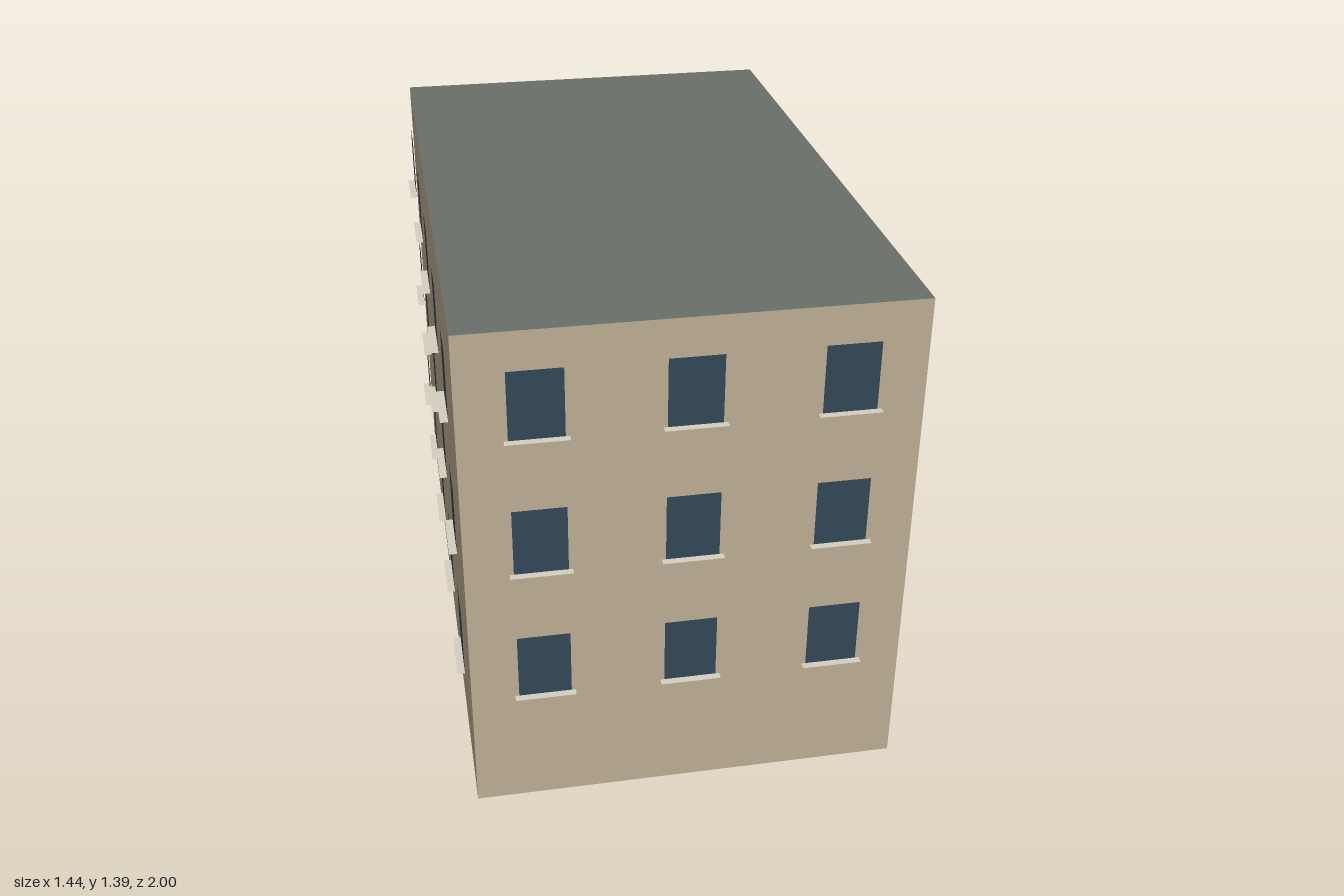
import * as THREE from 'three';

const WIDTH = 1.146, DEPTH = 1.828, HEIGHT = 1.395;
const WINDOW_W = 0.137, WINDOW_H = 0.184;
const SILL_W = 0.158, SILL_D = 0.02, GAP = 0.009;
const FIRST_FLOOR = 0.346, STOREY = 0.383, STOREYS = 3;

const paint = (color, side = THREE.FrontSide) => new THREE.MeshStandardMaterial({ color, side });
const wallPaint = paint(0xc4b49a);
const roofPaint = paint(0x6b6f6a);
const basePaint = paint(0x55534f);
const glassPaint = paint(0x34495a, THREE.DoubleSide);
const sillPaint = paint(0xd6cfc0, THREE.DoubleSide);

const paneGeometry = new THREE.PlaneGeometry(WINDOW_W, WINDOW_H);
const sillGeometry = new THREE.PlaneGeometry(SILL_W, SILL_D).rotateX(-Math.PI / 2);

function addMesh(parent, name, geometry, material, x, y, z) {
  const mesh = new THREE.Mesh(geometry, material);
  mesh.name = name;
  mesh.position.set(x, y, z);
  parent.add(mesh);
}

// Evenly spaced windows with thin sills, on a wall facing local +z
function windowWall(name, length, distance, columns, angle) {
  const wall = new THREE.Group();
  wall.name = name;
  wall.rotation.y = angle;
  for (let row = 0; row < STOREYS; row++) {
    const y = FIRST_FLOOR + row * STOREY;
    for (let col = 0; col < columns; col++) {
      const x = ((col + 0.5) / columns - 0.5) * length;
      addMesh(wall, 'windowPane', paneGeometry, glassPaint, x, y + WINDOW_H / 2, distance + GAP);
      addMesh(wall, 'windowSill', sillGeometry, sillPaint, x, y, distance + GAP + SILL_D / 2);
    }
  }
  return wall;
}

export function createModel() {
  const model = new THREE.Group();
  model.name = 'apartmentBlock';

  // The whole block stands slightly turned on its plot
  const block = new THREE.Group();
  block.name = 'block';
  block.rotation.y = 0.1526;
  model.add(block);

  // Walls, flat roof and underside
  addMesh(block, 'wallsAndRoof', new THREE.BoxGeometry(WIDTH, HEIGHT, DEPTH),
    [wallPaint, wallPaint, roofPaint, basePaint, wallPaint, wallPaint], 0, HEIGHT / 2, 0);

  // Windows on all four sides
  block.add(
    windowWall('frontWindows', WIDTH, DEPTH / 2, 3, 0),
    windowWall('backWindows', WIDTH, DEPTH / 2, 3, Math.PI),
    windowWall('leftWindows', DEPTH, WIDTH / 2, 5, Math.PI / 2),
    windowWall('rightWindows', DEPTH, WIDTH / 2, 5, -Math.PI / 2),
  );
  return model;
}
